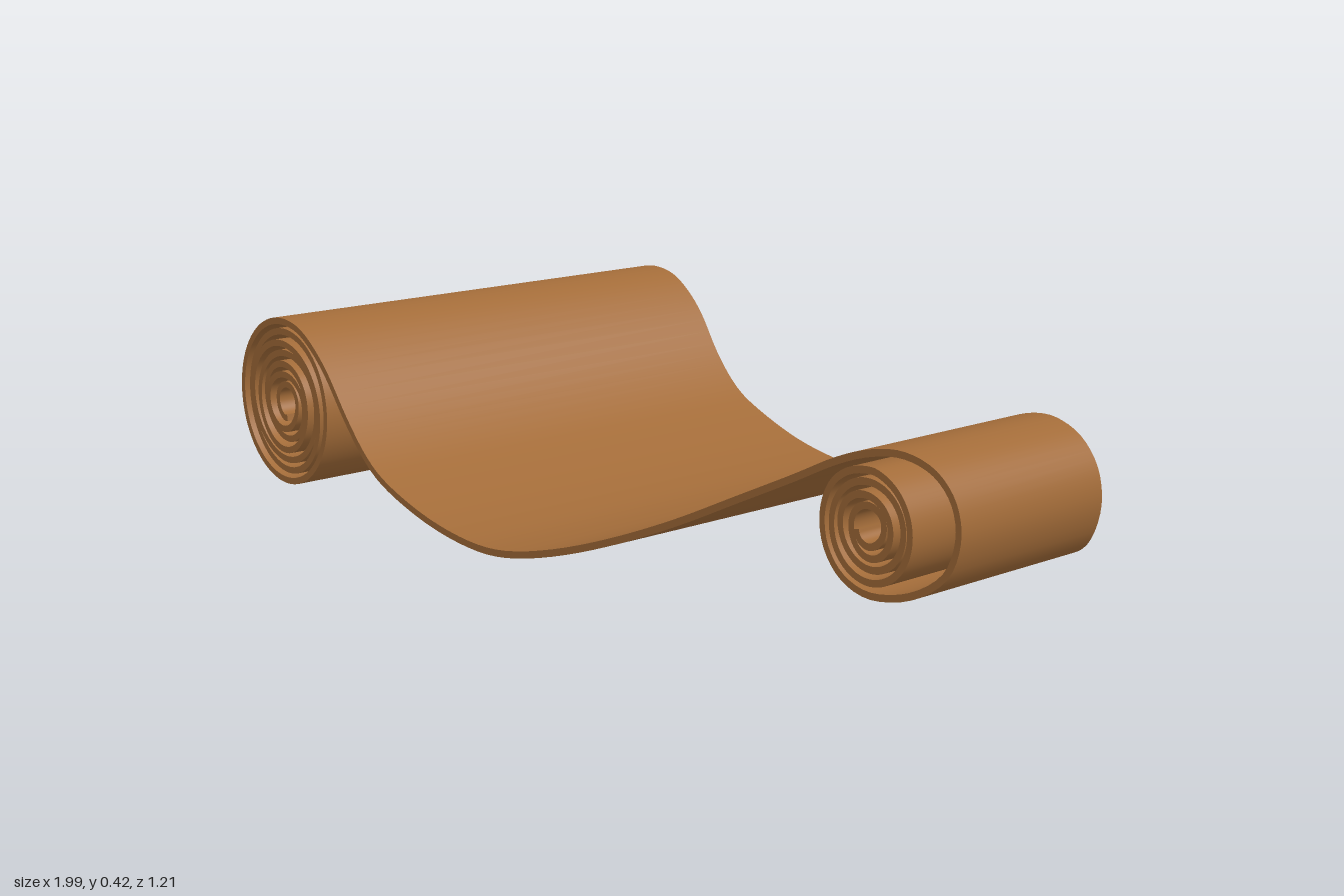
import * as THREE from 'three';

const HALF = 0.008; // half the paper thickness
const STEPS = 4;    // samples between neighbouring key points

// Spiral key points [x, y, zBack, zFront], listed from the outside inwards
function spiral(cx, cy, rOuter, rInner, startDeg, turns, dir, zBack, zFront) {
  const keys = [], n = Math.round(turns * 18);
  for (let i = 0; i <= n; i++) {
    const f = i / n;
    const a = THREE.MathUtils.degToRad(startDeg + dir * i * 20);
    const r = THREE.MathUtils.lerp(rOuter, rInner, f) * (1 + 0.02 * f * Math.sin(3 * a));
    const uneven = 0.006 * Math.sin(i * 0.21) * Math.min(1, i / 12);
    keys.push([cx + r * Math.cos(a), cy + r * Math.sin(a), zBack + uneven, zFront + uneven]);
  }
  return keys;
}

// One length of paper with thickness; frames hold centre point, normal and z limits
function ribbon(name, frames, material, capStart, capEnd) {
  const pos = [], nor = [], idx = [];
  const corners = (f) => [[1, f.zb], [1, f.zf], [-1, f.zf], [-1, f.zb]].map(([s, z]) =>
    [f.x + s * f.nx * HALF, f.y + s * f.ny * HALF, z]);
  // upper face, front edge, under face, back edge
  for (let side = 0; side < 4; side++) {
    const base = pos.length / 3;
    frames.forEach((f, i) => {
      const c = corners(f);
      const n = [[f.nx, f.ny, 0], [0, 0, 1], [-f.nx, -f.ny, 0], [0, 0, -1]][side];
      pos.push(...c[side], ...c[(side + 1) % 4]);
      nor.push(...n, ...n);
      if (i) {
        const p = base + 2 * (i - 1);
        idx.push(p, p + 1, p + 3, p, p + 3, p + 2);
      }
    });
  }
  // closed paper ends
  const cap = (f, dir) => {
    const b = pos.length / 3;
    corners(f).forEach((c) => {
      pos.push(...c);
      nor.push(dir * f.ny, -dir * f.nx, 0);
    });
    idx.push(...(dir > 0 ? [b, b + 2, b + 1, b, b + 3, b + 2] : [b, b + 1, b + 2, b, b + 2, b + 3]));
  };
  if (capStart) cap(frames[0], -1);
  if (capEnd) cap(frames[frames.length - 1], 1);

  const g = new THREE.BufferGeometry();
  g.setAttribute('position', new THREE.Float32BufferAttribute(pos, 3));
  g.setAttribute('normal', new THREE.Float32BufferAttribute(nor, 3));
  g.setIndex(idx);
  const mesh = new THREE.Mesh(g, material);
  mesh.name = name;
  return mesh;
}

export function createModel() {
  const paper = new THREE.MeshStandardMaterial({ color: 0xa36c39, side: THREE.DoubleSide });
  paper.name = 'brown parchment';

  // large roll, from its core out to where the sheet leaves
  const largeRoll = spiral(-0.79, 0.21, 0.209, 0.035, 60, 6.6, 1, -0.605, 0.582).reverse();

  // hanging sheet, narrowing towards the small roll
  const sheet = [
    [-0.6, 0.325, -0.6, 0.582], [-0.5, 0.22, -0.58, 0.587], [-0.4, 0.145, -0.562, 0.597],
    [-0.3, 0.1, -0.555, 0.603], [-0.15, 0.055, -0.547, 0.598], [0, 0.033, -0.538, 0.59],
    [0.12, 0.036, -0.525, 0.578], [0.22, 0.052, -0.508, 0.525], [0.32, 0.084, -0.488, 0.45],
    [0.42, 0.13, -0.464, 0.355], [0.52, 0.188, -0.435, 0.262], [0.61, 0.24, -0.402, 0.185],
    [0.7, 0.29, -0.385, 0.145], [0.78, 0.318, -0.375, 0.122],
  ];

  // loose outer wrap of the small roll
  const wrap = [
    [0.85, 0.322, -0.37, 0.1], [0.92, 0.296, -0.366, 0.085], [0.968, 0.24, -0.364, 0.078],
    [0.982, 0.165, -0.364, 0.078], [0.955, 0.085, -0.37, 0.085], [0.895, 0.037, -0.39, 0.12],
    [0.81, 0.023, -0.405, 0.15], [0.73, 0.045, -0.408, 0.153], [0.681, 0.1, -0.41, 0.154],
    [0.668, 0.17, -0.41, 0.154], [0.69, 0.236, -0.41, 0.153], [0.738, 0.276, -0.41, 0.152],
  ];
  const coil = spiral(0.8, 0.165, 0.125, 0.03, 90, 3.7, -1, -0.412, 0.15);

  // smooth both paper edges with matching samples
  const keys = [...largeRoll, ...sheet, ...wrap, ...coil];
  const edge = (k) => new THREE.CatmullRomCurve3(
    keys.map((p) => new THREE.Vector3(p[0], p[1], p[k])), false, 'catmullrom', 0.5);
  const back = edge(2), front = edge(3);
  const total = (keys.length - 1) * STEPS;
  const frames = [];
  for (let i = 0; i <= total; i++) {
    const b = back.getPoint(i / total), f = front.getPoint(i / total);
    frames.push({ x: b.x, y: b.y, zb: b.z, zf: f.z });
  }
  frames.forEach((f, i) => {
    const p = frames[Math.max(i - 1, 0)], q = frames[Math.min(i + 1, total)];
    const len = Math.hypot(q.x - p.x, q.y - p.y);
    f.nx = -(q.y - p.y) / len;
    f.ny = (q.x - p.x) / len;
  });

  const a = (largeRoll.length - 1) * STEPS;
  const b = a + sheet.length * STEPS;
  const scroll = new THREE.Group();
  scroll.name = 'scroll';
  scroll.add(
    ribbon('largeRoll', frames.slice(0, a + 1), paper, true, false),
    ribbon('sheet', frames.slice(a, b + 1), paper, false, false),
    ribbon('smallRoll', frames.slice(b), paper, false, true),
  );
  return scroll;
}
